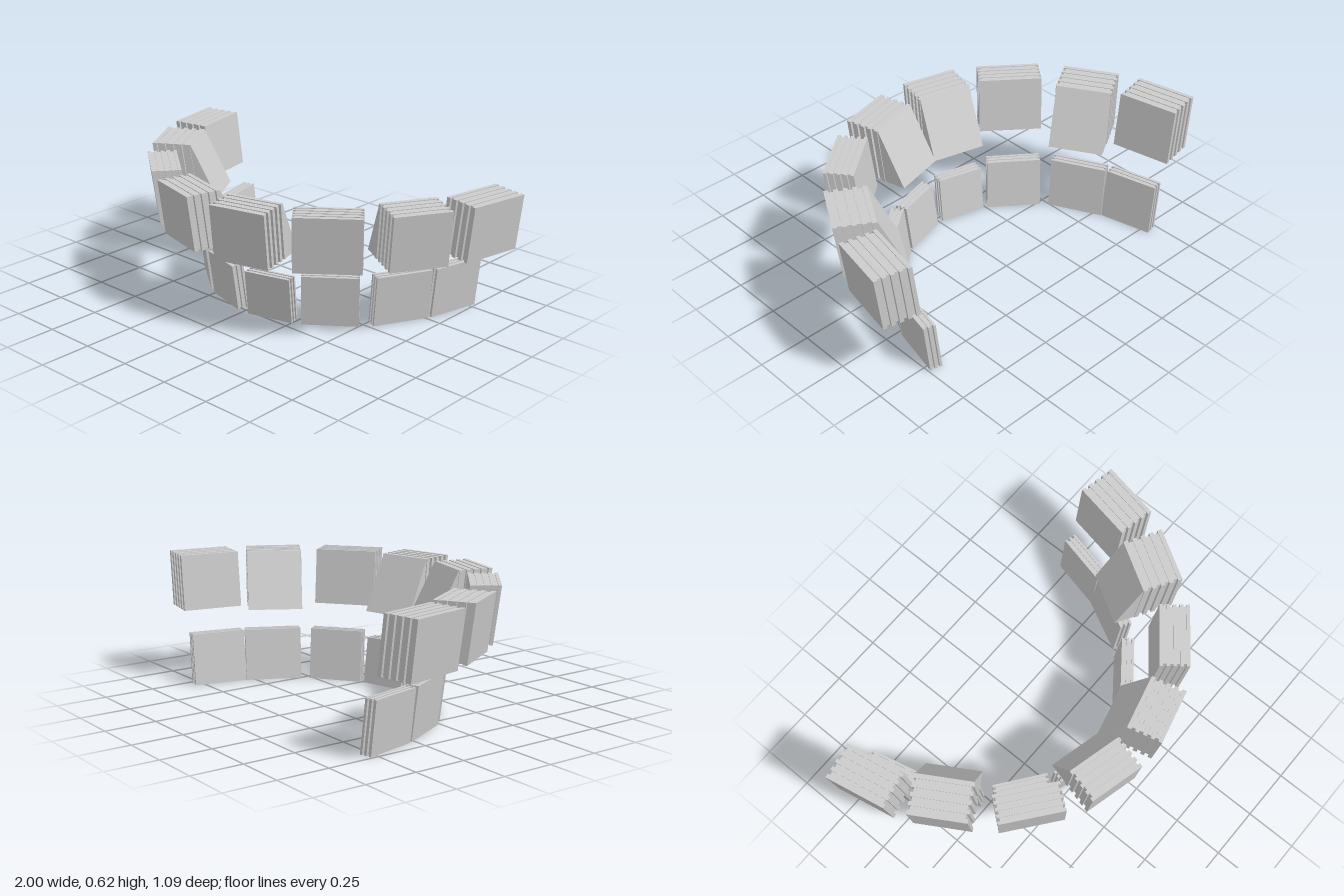
import * as THREE from 'three';

const material = new THREE.MeshStandardMaterial({ color: 0xcccccc, flatShading: true, side: THREE.DoubleSide });

// Leaning slab: a and b are the ends of the front top edge as [x, z].
// d0..d1 is the depth range at the top, e0..e1 the range at the bottom.
function slab(a, b, y0, y1, d0, d1, e0, e1, inset) {
  const dx = b[0] - a[0], dz = b[1] - a[1];
  const length = Math.hypot(dx, dz);
  const tx = dx / length, tz = dz / length;
  const geometry = new THREE.BoxGeometry(1, 1, 1);
  const p = geometry.attributes.position;
  for (let i = 0; i < p.count; i++) {
    const along = p.getX(i) < 0 ? inset : length - inset;
    const top = p.getY(i) > 0, front = p.getZ(i) > 0;
    const depth = top ? (front ? d0 : d1) : (front ? e0 : e1);
    p.setXYZ(i, a[0] + tx * along + tz * depth, top ? y1 : y0, a[1] + tz * along - tx * depth);
  }
  geometry.computeVertexNormals();
  return new THREE.Mesh(geometry, material);
}

// One block: a stack of sheets with alternating edges, and a wedge behind if it has one
function block(name, a, b, { y0, y1, depth, lean, layers, wedge = 0 }) {
  const group = new THREE.Group();
  group.name = name;
  for (let i = 0; i < layers; i++) {
    const d0 = depth * i / layers, d1 = depth * (i + 1) / layers;
    const recessed = i % 2;
    const sheet = slab(a, b, y0 + recessed * 0.003, y1 - recessed * 0.003,
      d0, d1, d0 + lean, d1 + lean, recessed * 0.012);
    sheet.name = 'sheet';
    group.add(sheet);
  }
  if (wedge) {
    const back = slab(a, b, y0, y1, depth, depth + 0.002, depth + lean, depth + wedge, 0.004);
    back.name = 'backWedge';
    group.add(back);
  }
  return group;
}

export function createModel() {
  const model = new THREE.Group();
  model.name = 'blockArcs';
  const upper = { y0: 0.355, y1: 0.625, lean: 0.035, layers: 9 };
  const lower = { y0: 0, y1: 0.25, lean: 0.03, layers: 5, depth: 0.06 };

  // Front top edges on the left half, from the middle outward
  const blocks = [
    ['upperBlock', [0.07, 0.547], [0.335, 0.48], { ...upper, depth: 0.17, wedge: 0.14 }],
    ['upperBlock', [0.44, 0.42], [0.68, 0.23], { ...upper, depth: 0.14 }],
    ['upperBlock', [0.76, 0.125], [0.9, -0.11], { ...upper, depth: 0.19, wedge: 0.135 }],
    ['upperBlock', [0.943, -0.205], [1.0, -0.495], { ...upper, depth: 0.18 }],
    ['lowerBlock', [0.04, 0.3], [0.26, 0.24], { ...lower, y1: 0.225 }],
    ['lowerBlock', [0.31, 0.215], [0.52, 0.055], lower],
    ['lowerBlock', [0.575, -0.005], [0.7, -0.25], lower],
    ['lowerBlock', [0.71, -0.27], [0.77, -0.525], lower],
  ];
  for (const [name, a, b, options] of blocks) {
    model.add(block(name + 'Left', a, b, options));
    model.add(block(name + 'Right', [-b[0], b[1]], [-a[0], a[1]], options));
  }
  return model;
}
